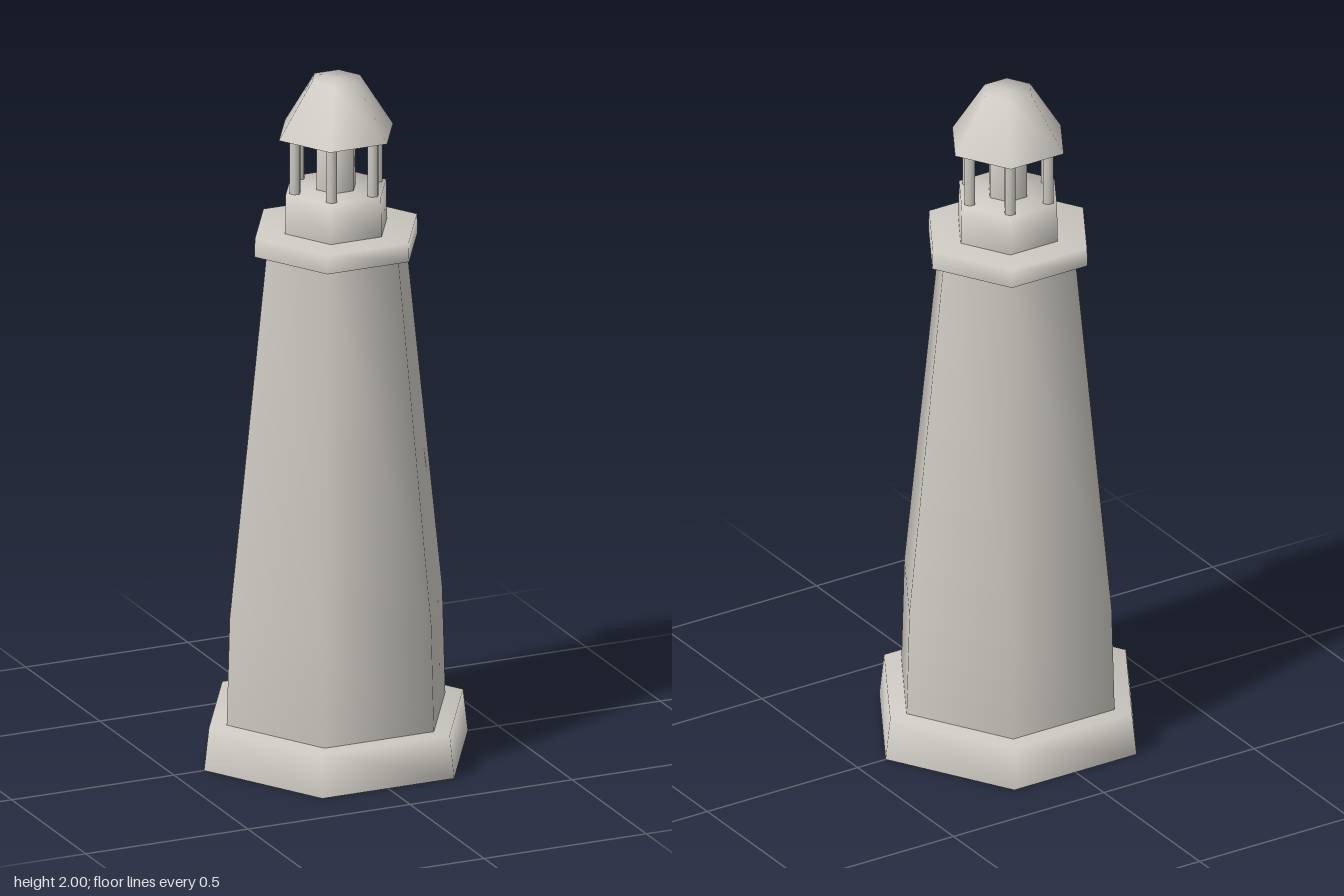
import * as THREE from 'three';

export function createModel() {
  const model = new THREE.Group();
  model.name = 'lighthouse';
  const stone = new THREE.MeshStandardMaterial({ color: 0xcdc9c2, side: THREE.DoubleSide });
  stone.name = 'pale stone';

  // Six-sided shell, open below and closed on top, with smooth normals and
  // corners on the x axis; the profile lists [radius, height] from bottom to top
  function hexShell(name, profile) {
    const top = profile[profile.length - 1][1];
    const points = [...profile, [0, top]].map(([r, y]) => new THREE.Vector2(r, y));
    const geometry = new THREE.LatheGeometry(points, 6, Math.PI / 6);
    geometry.normalizeNormals();
    const mesh = new THREE.Mesh(geometry, stone);
    mesh.name = name;
    model.add(mesh);
    return mesh;
  }

  hexShell('base', [[0.407, 0], [0.392, 0.125]]);
  hexShell('tower', [[0.337, 0.125], [0.328, 0.44], [0.215, 1.5], [0.21, 1.555]]);
  hexShell('gallery', [[0.252, 1.505], [0.25, 1.56]]);
  hexShell('lanternBase', [[0.157, 1.56], [0.155, 1.677]]);
  hexShell('lamp', [[0.06, 1.677], [0.06, 1.84]]);
  hexShell('roof', [[0.176, 1.84], [0.074, 2]]);

  // Six slim posts carrying the roof, one at each corner
  for (let i = 0; i < 6; i++) {
    const angle = i * Math.PI / 3;
    const post = hexShell('lanternPost', [[0.017, 1.677], [0.017, 1.86]]);
    post.position.set(0.127 * Math.cos(angle), 0, 0.127 * Math.sin(angle));
  }

  return model;
}
